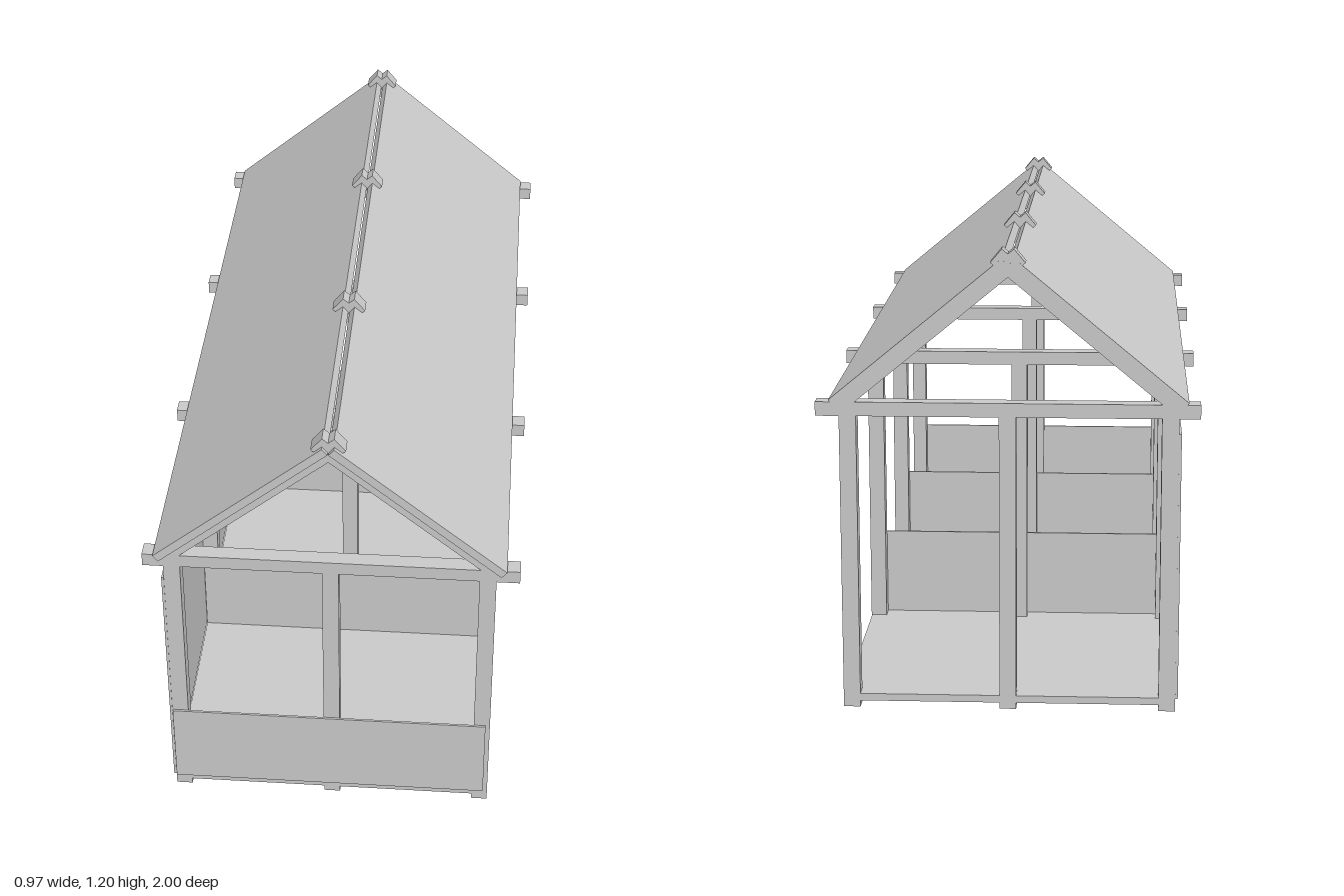
import * as THREE from 'three';

export function createModel() {
  const model = new THREE.Group();
  const mat = new THREE.MeshStandardMaterial({ color: 0xcccccc, flatShading: true });

  // Box given by its min and max corners
  function box(name, x0, x1, y0, y1, z0, z1) {
    const mesh = new THREE.Mesh(new THREE.BoxGeometry(x1 - x0, y1 - y0, z1 - z0), mat);
    mesh.position.set((x0 + x1) / 2, (y0 + y1) / 2, (z0 + z1) / 2);
    mesh.name = name;
    model.add(mesh);
  }

  const half = 0.0215; // half the timber thickness
  const frames = [0.967, 0.333, -0.337, -0.978];
  const ridgeX = -0.004;

  // Sloping board: outer face runs from the eave to distance "length" up the slope
  const angle = Math.atan(0.827);
  const c = Math.cos(angle), s = Math.sin(angle);
  function slope(name, side, length, thick, lift, z, depth) {
    const mesh = new THREE.Mesh(new THREE.BoxGeometry(length, thick, depth), mat);
    const down = thick / 2 - lift;
    const x = -0.451 + c * length / 2 + s * down;
    const y = 0.81 + s * length / 2 - c * down;
    mesh.position.set(ridgeX - side * x, y, z);
    mesh.rotation.z = -side * angle;
    mesh.name = name;
    model.add(mesh);
  }

  // Floor slab
  box('floor', -0.43, 0.42, 0.016, 0.035, -0.998, 0.988);

  // Four frames of posts, tie beam and crossing rafters
  for (const z of frames) {
    for (const x of [-0.41, -0.002, 0.4]) {
      box('post', x - half, x + half, 0, 0.77, z - half, z + half);
    }
    box('tieBeam', -0.485, 0.481, 0.77, 0.806, z - half, z + half);
    for (const side of [-1, 1]) slope('rafter', side, 0.605, 0.045, 0, z, 2 * half);
  }

  // Low panels across the front three frames
  for (const z of frames.slice(0, 3)) {
    box('lowPanel', -0.43, 0.41, 0.034, 0.272, z + half, z + half + 0.006);
  }

  // Tall side wall on the outside of the posts
  box('sideWall', -0.438, -0.4315, 0.034, 0.732, -1, 0.99);

  // Roof sheets laid into the rafters
  for (const side of [-1, 1]) slope('roofSheet', side, 0.566, 0.022, 0.001, 0, 2);

  return model;
}
